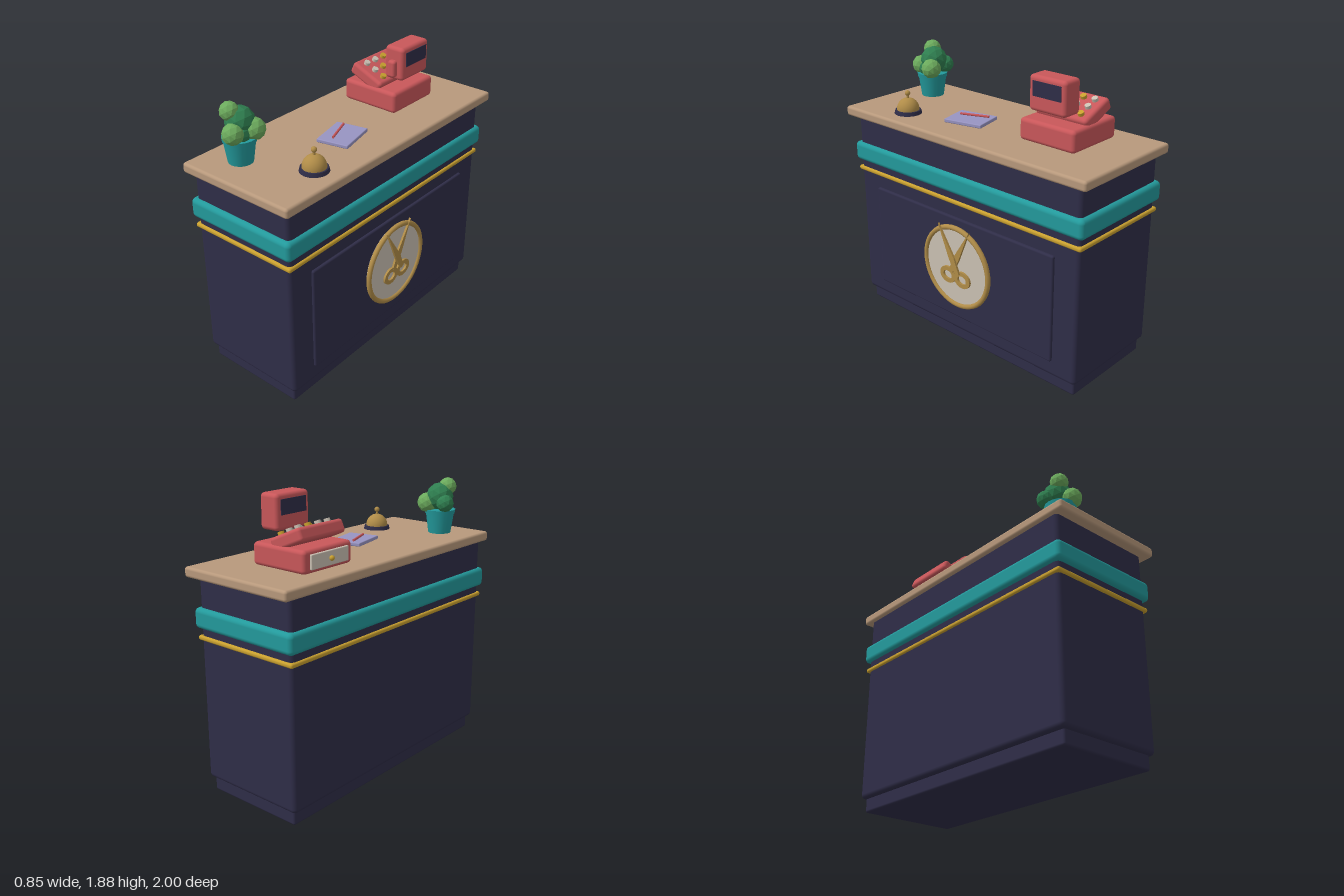
import * as THREE from 'three';
import { RoundedBoxGeometry } from 'three/addons/geometries/RoundedBoxGeometry.js';

const mat = (name, color, extra = {}) => {
  const m = new THREE.MeshStandardMaterial({ color, ...extra });
  m.name = name;
  return m;
};

export function createModel() {
  const navy = mat('navy', 0x2f2d48);
  const tan = mat('tan wood', 0xb8997c);
  const teal = mat('teal', 0x239a9c);
  const gold = mat('gold', 0xc9a02f);
  const brass = mat('brass', 0xb08c48);
  const cream = mat('cream', 0xcbc1b3);
  const red = mat('red', 0xc9575a);
  const lavender = mat('lavender', 0x9894c2);
  const darkLeaf = mat('dark green', 0x2f7f50, { flatShading: true });
  const lightLeaf = mat('light green', 0x6cab5d, { flatShading: true });

  const model = new THREE.Group();
  model.name = 'receptionCounter';
  const group = (name, x = 0, y = 0, z = 0) => {
    const g = new THREE.Group();
    g.name = name;
    g.position.set(x, y, z);
    model.add(g);
    return g;
  };
  const add = (parent, name, geo, material, x = 0, y = 0, z = 0) => {
    const m = new THREE.Mesh(geo, material);
    m.name = name;
    m.position.set(x, y, z);
    parent.add(m);
    return m;
  };
  // Rounded box given by its minimum and maximum on each axis
  const slab = (parent, name, material, [x0, x1], [y0, y1], [z0, z1], r) =>
    add(parent, name, new RoundedBoxGeometry(x1 - x0, y1 - y0, z1 - z0, 3, r), material,
      (x0 + x1) / 2, (y0 + y1) / 2, (z0 + z1) / 2);

  // Counter
  const counter = group('counter');
  slab(counter, 'plinth', navy, [-0.37, 0.32], [0, 0.12], [-0.915, 0.915], 0.015);
  slab(counter, 'body', navy, [-0.4, 0.35], [0.09, 1.42], [-0.94, 0.94], 0.03);
  slab(counter, 'tealBand', teal, [-0.425, 0.375], [1.08, 1.21], [-0.97, 0.97], 0.03);
  slab(counter, 'goldTrim', gold, [-0.413, 0.363], [1.005, 1.035], [-0.955, 0.955], 0.013);
  slab(counter, 'countertop', tan, [-0.425, 0.403], [1.395, 1.46], [-1, 1], 0.018);
  slab(counter, 'customerPanel', navy, [0.33, 0.368], [0.2, 0.92], [-0.765, 0.765], 0.012);

  // Round emblem on the customer side, built facing +z then turned to +x
  const emblem = group('emblem', 0.365, 0.588, 0);
  emblem.rotation.y = Math.PI / 2;
  const disc = new THREE.CylinderGeometry(0.275, 0.275, 0.03, 48).rotateX(Math.PI / 2);
  add(emblem, 'emblemDisc', disc, cream, 0, 0, 0.01);
  add(emblem, 'emblemRing', new THREE.TorusGeometry(0.274, 0.017, 10, 48), brass, 0, 0, 0.023);
  const cut = depth => ({ depth, bevelEnabled: false, curveSegments: 24 });
  for (const s of [-1, 1]) {
    const z = s < 0 ? 0.041 : 0.029;
    const blade = new THREE.Shape([
      [0.128, 0.285], [0.036, 0.062], [-0.022, -0.045], [-0.05, -0.03], [-0.008, 0.075],
    ].map(([u, v]) => new THREE.Vector2(s * u, v)));
    add(emblem, 'scissorBlade', new THREE.ExtrudeGeometry(blade, cut(0.014)), brass, 0, 0, z);
    const loop = new THREE.Shape().absellipse(-s * 0.063, -0.068, 0.068, 0.057, 0, Math.PI * 2);
    loop.holes.push(new THREE.Path().absellipse(-s * 0.063, -0.068, 0.037, 0.029, 0, Math.PI * 2));
    add(emblem, 'scissorHandle', new THREE.ExtrudeGeometry(loop, cut(0.014)), brass, 0, 0, 0.028);
  }

  // Cash register
  const register = group('cashRegister');
  slab(register, 'registerBase', red, [-0.285, 0.128], [1.46, 1.6], [-0.707, -0.293], 0.025);
  slab(register, 'drawerFront', cream, [-0.3, -0.28], [1.485, 1.575], [-0.66, -0.34], 0.006);
  add(register, 'drawerKnob', new THREE.SphereGeometry(0.016, 14, 10), gold, -0.309, 1.53, -0.5);

  const keyboard = group('keyboard', -0.125, 1.638, -0.5);
  keyboard.rotation.z = -0.4;
  add(keyboard, 'keyboardBlock', new RoundedBoxGeometry(0.25, 0.085, 0.385, 3, 0.022), red);
  const keyGeo = new THREE.CylinderGeometry(0.02, 0.02, 0.026, 10);
  for (let r = 0; r < 4; r++) {
    for (let c = 0; c < 3; c++) {
      add(keyboard, 'key', keyGeo, c === (r + 2) % 3 ? gold : cream,
        -0.066 + c * 0.072, 0.05, -0.128 + r * 0.083);
    }
  }

  // Register display with a screen on both sides
  slab(register, 'displayHousing', red, [-0.013, 0.13], [1.66, 1.878], [-0.638, -0.364], 0.025);
  slab(register, 'displaySideGrip', red, [0.03, 0.087], [1.683, 1.795], [-0.39, -0.332], 0.018);
  for (const x of [-0.013, 0.13]) {
    add(register, 'displayScreen', new THREE.BoxGeometry(0.008, 0.092, 0.21), navy, x, 1.8, -0.502);
  }

  // Notepad and pen
  const notepad = group('notepad', 0.074, 1.46, 0.158);
  notepad.rotation.y = 0.22;
  add(notepad, 'pad', new RoundedBoxGeometry(0.212, 0.024, 0.27, 2, 0.006), lavender, 0, 0.012, 0);
  const pen = add(model, 'pen', new THREE.CylinderGeometry(0.008, 0.008, 0.195, 10).rotateX(Math.PI / 2),
    red, 0.04, 1.492, 0.155);
  pen.rotation.y = 0.37;

  // Service bell
  const bell = group('serviceBell', 0.224, 1.46, 0.58);
  add(bell, 'bellBase', new THREE.CylinderGeometry(0.084, 0.09, 0.024, 32), navy, 0, 0.012, 0);
  const dome = new THREE.SphereGeometry(0.074, 32, 12, 0, Math.PI * 2, 0, Math.PI / 2).scale(1, 1.05, 1);
  add(bell, 'bellDome', dome, brass, 0, 0.024, 0);
  add(bell, 'bellStem', new THREE.CylinderGeometry(0.008, 0.008, 0.04, 12), brass, 0, 0.115, 0);
  add(bell, 'bellButton', new THREE.SphereGeometry(0.018, 16, 12), brass, 0, 0.133, 0);

  // Potted plant
  const plant = group('pottedPlant', -0.179, 1.46, 0.765);
  add(plant, 'pot', new THREE.CylinderGeometry(0.097, 0.076, 0.145, 20), teal, 0, 0.0725, 0);
  add(plant, 'potRim', new THREE.CylinderGeometry(0.104, 0.1, 0.028, 20), teal, 0, 0.146, 0);
  const leaves = [
    [-0.005, 0.25, -0.015, 0.092, darkLeaf],
    [-0.073, 0.212, -0.052, 0.06, darkLeaf],
    [0.03, 0.19, 0.015, 0.06, darkLeaf],
    [-0.036, 0.314, 0.03, 0.06, lightLeaf],
    [0.066, 0.205, -0.06, 0.068, lightLeaf],
    [0.027, 0.205, 0.073, 0.066, lightLeaf],
  ];
  for (const [x, y, z, r, material] of leaves) {
    add(plant, 'leafCluster', new THREE.IcosahedronGeometry(r, 1), material, x, y, z);
  }

  return model;
}
